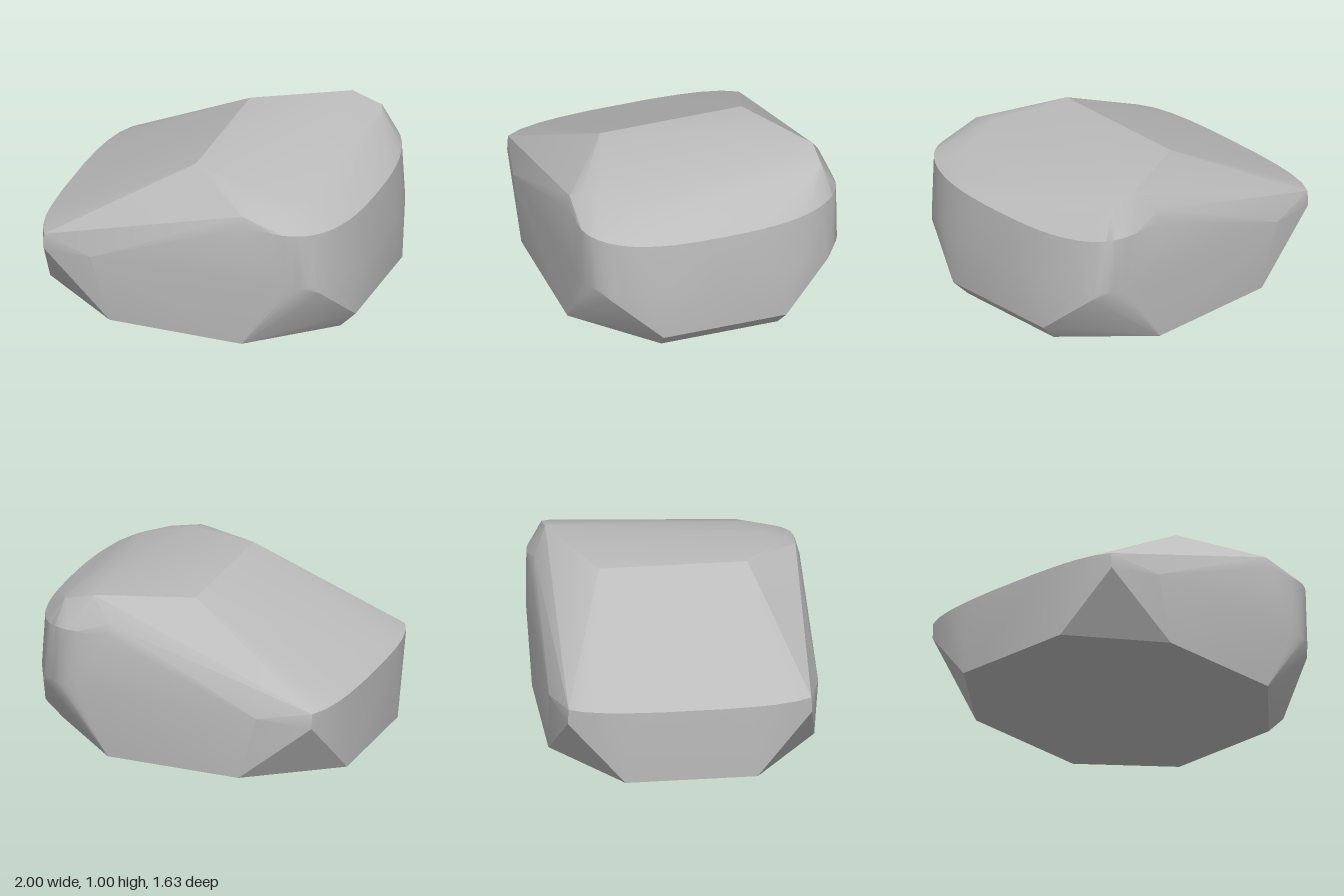
import * as THREE from 'three';
import { toCreasedNormals } from 'three/addons/utils/BufferGeometryUtils.js';
import { ConvexGeometry } from 'three/addons/geometries/ConvexGeometry.js';

export function createModel() {
  const group = new THREE.Group();
  group.name = 'boulder';
  const stone = new THREE.MeshStandardMaterial({ color: 0xbcbcbc });
  stone.name = 'grey stone';

  const points = [];
  const add = (x, y, z) => points.push(new THREE.Vector3(x, y, z));
  const mirrored = (x, y, z) => { add(x, y, z); add(x, y, -z); };

  // Flat base with cut corners and a bevel at the blunt end
  mirrored(-0.45, 0, 0.805);
  mirrored(0.4, 0, 0.805);
  mirrored(0.87, 0, 0.37);
  mirrored(0.975, 0.11, 0.39);
  mirrored(-0.99, 0, 0.4);

  // Low end: gently bowed wall between the base and the sloping top
  mirrored(-0.9, 0.37, 0.74);
  mirrored(-0.57, 0.41, 0.815);
  for (const [x, z] of [[-0.9, 0.735], [-0.945, 0.64], [-0.975, 0.51], [-0.99, 0.38], [-1, 0.18]]) {
    mirrored(x, 0.465, z);
  }
  mirrored(-1, 0.4, 0.2);

  // Blunt end: rounded wall from the corner cuts up to the rim
  const steps = 14;
  for (let i = 0; i <= steps; i++) {
    const a = (i / steps) * Math.PI / 2;
    const c = Math.cos(a) ** 0.8, s = Math.sin(a) ** 0.8;
    mirrored(0.6 + 0.4 * c, 0.43, 0.815 * s);
    mirrored(0.6 + 0.375 * c, 0.755 + 0.035 * s ** 4, 0.812 * s);
  }
  mirrored(0.86, 0.38, 0.695);

  // Shoulders and ridge
  mirrored(0.4, 0.79, 0.815);
  mirrored(0.4, 0.86, 0.79);
  mirrored(-0.03, 0.97, 0.45);

  // Rounded front shoulder
  add(0.42, 0.9, 0.72);
  add(0.42, 0.93, 0.6);
  add(0.6, 0.875, 0.68);
  add(0.72, 0.865, 0.55);
  add(0.85, 0.82, 0.48);

  // Raised back peak
  add(0.53, 1, -0.71);
  add(0.52, 0.995, -0.66);
  add(0.72, 0.94, -0.71);
  add(0.74, 0.935, -0.66);

  const mesh = new THREE.Mesh(toCreasedNormals(new ConvexGeometry(points), 0.42), stone);
  mesh.name = 'rock';
  group.add(mesh);
  return group;
}
